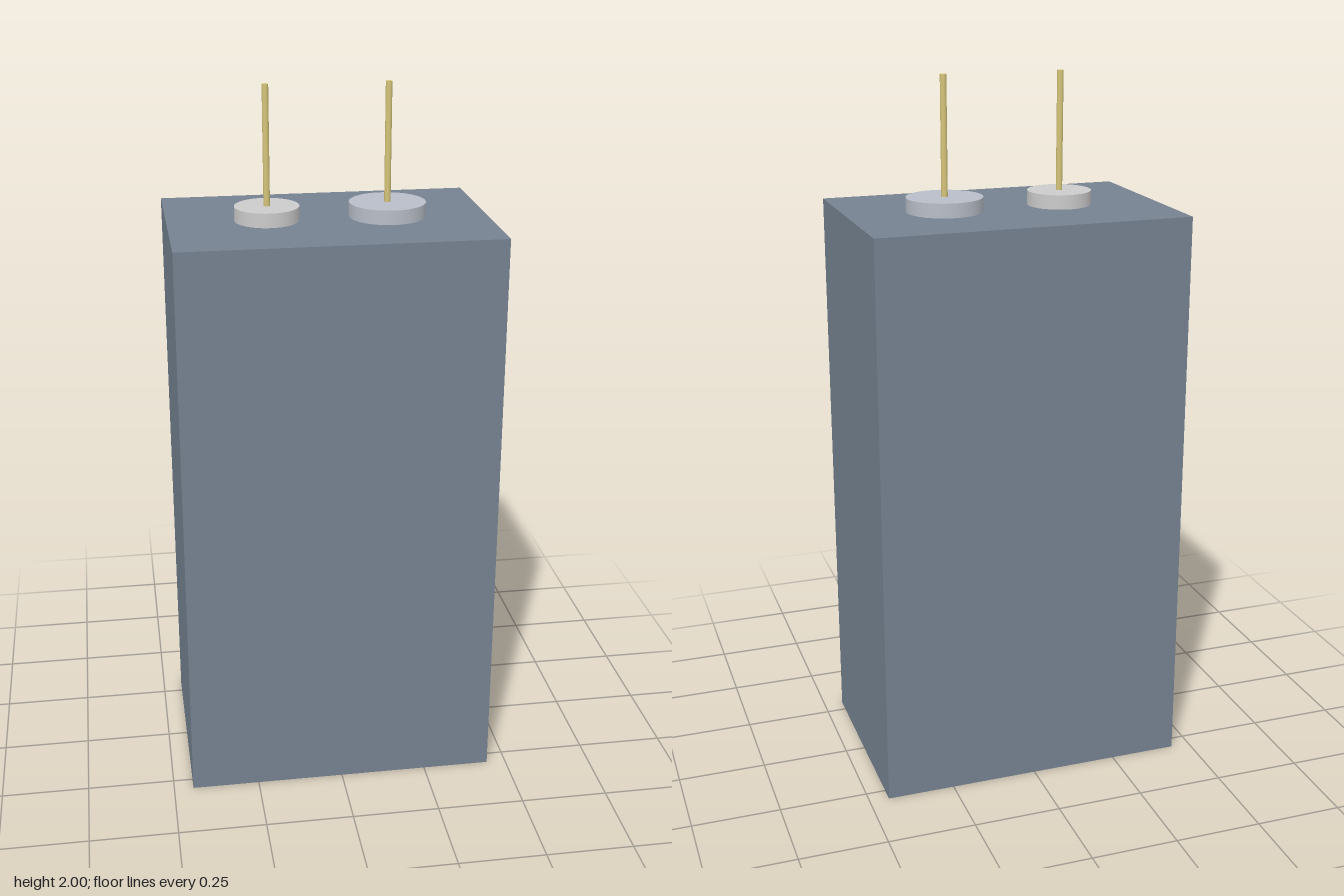
import * as THREE from 'three';

const BODY_H = 1.63, CAP_H = 0.04, TOP = 2;

function addPart(parent, name, geometry, color, x, y) {
  const mesh = new THREE.Mesh(geometry, new THREE.MeshStandardMaterial({ color }));
  mesh.name = name;
  mesh.position.set(x, y, 0);
  parent.add(mesh);
}

// Round cap with a thin upright pin through its centre
function makeTerminal(name, x, radius, color) {
  const terminal = new THREE.Group();
  terminal.name = name;
  terminal.position.set(x, BODY_H, 0);
  const pinH = TOP - BODY_H - CAP_H;
  addPart(terminal, 'cap', new THREE.CylinderGeometry(radius, radius, CAP_H, 48), color, 0, CAP_H / 2);
  addPart(terminal, 'pin', new THREE.CylinderGeometry(0.009, 0.009, pinH, 24), 0xd4c47a, 0, CAP_H + pinH / 2);
  return terminal;
}

export function createModel() {
  const model = new THREE.Group();
  model.name = 'cell';

  // Plain rectangular case
  addPart(model, 'case', new THREE.BoxGeometry(0.888, BODY_H, 0.588), 0x758290, 0, BODY_H / 2);

  // Two terminals, the wider one on the model's left
  model.add(makeTerminal('rightTerminal', -0.168, 0.09, 0xd2d2d4));
  model.add(makeTerminal('leftTerminal', 0.168, 0.107, 0xb8bec8));
  return model;
}
